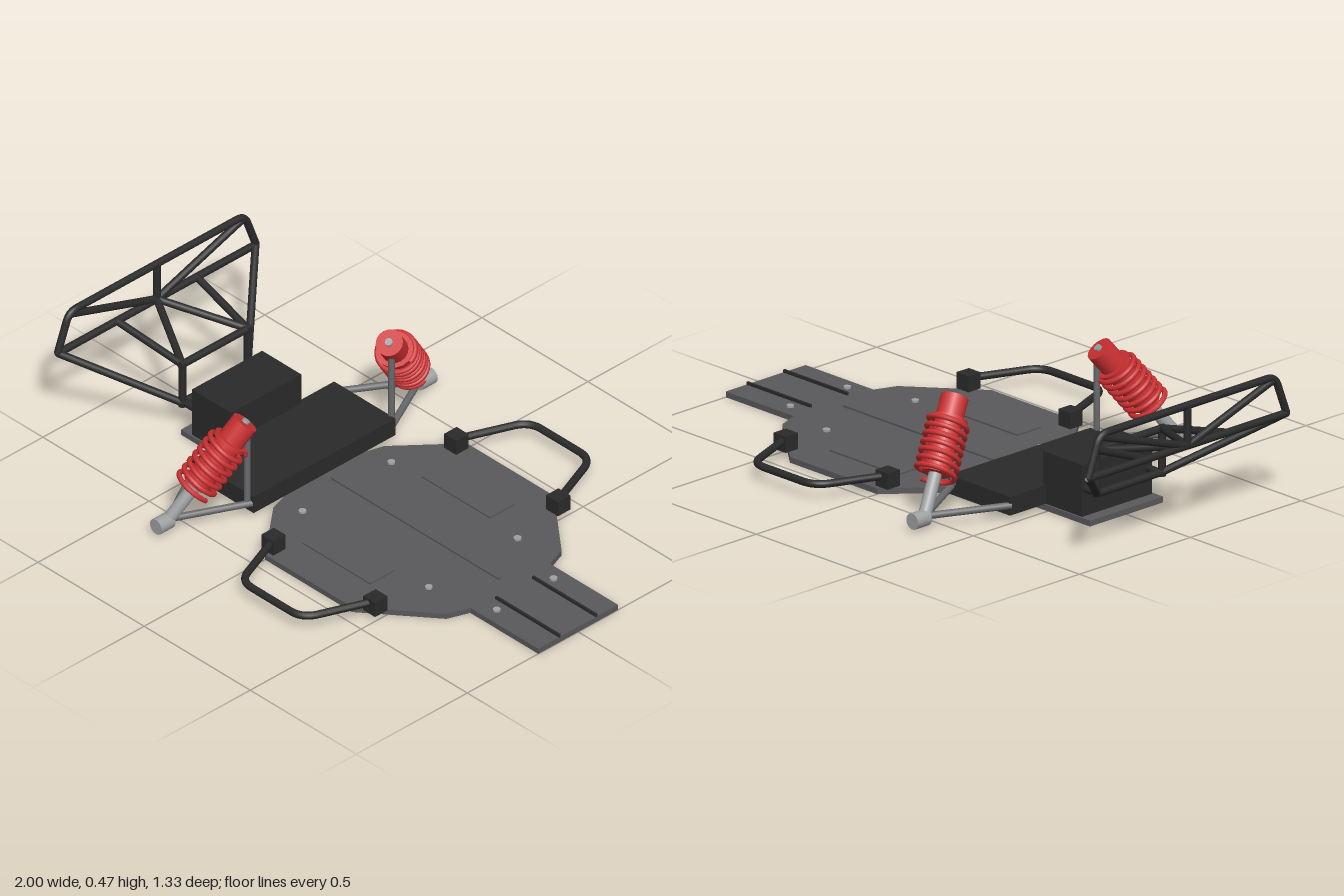
import * as THREE from 'three';

const mat = (name, color) => Object.assign(new THREE.MeshStandardMaterial({ color }), { name });
const V = (x, y, z) => new THREE.Vector3(x, y, z);

// Polyline path whose inner corners are rounded by radius r
function roundedPath(points, r) {
  const path = new THREE.CurvePath();
  let prev = points[0];
  for (let i = 1; i < points.length - 1; i++) {
    const p = points[i];
    const a = p.clone().add(points[i - 1].clone().sub(p).setLength(r));
    const b = p.clone().add(points[i + 1].clone().sub(p).setLength(r));
    path.add(new THREE.LineCurve3(prev, a));
    path.add(new THREE.QuadraticBezierCurve3(a, p, b));
    prev = b;
  }
  path.add(new THREE.LineCurve3(prev, points[points.length - 1]));
  return path;
}

class Helix extends THREE.Curve {
  constructor(radius, y0, y1, turns) {
    super();
    Object.assign(this, { radius, y0, y1, turns });
  }
  getPoint(t, target = new THREE.Vector3()) {
    const a = t * this.turns * Math.PI * 2;
    return target.set(this.radius * Math.cos(a), this.y0 + (this.y1 - this.y0) * t, this.radius * Math.sin(a));
  }
}

export function createModel() {
  const grey = mat('chassis grey', 0x59595b);
  const black = mat('black', 0x2a2a2b);
  const steel = mat('dark steel', 0x68696b);
  const silver = mat('silver', 0x9fa0a2);
  const red = mat('red', 0xcc3032);
  const root = new THREE.Group();
  root.name = 'buggyChassis';

  const add = (name, geo, m, parent = root) => {
    const mesh = new THREE.Mesh(geo, m);
    mesh.name = name;
    parent.add(mesh);
    return mesh;
  };
  // Box given by its limits
  const box = (name, m, x0, x1, y0, y1, z0, z1) =>
    add(name, new THREE.BoxGeometry(x1 - x0, y1 - y0, z1 - z0), m)
      .position.set((x0 + x1) / 2, (y0 + y1) / 2, (z0 + z1) / 2);
  // Straight round bar between two points
  const bar = (name, m, a, b, r, parent = root) => {
    const d = b.clone().sub(a);
    const mesh = add(name, new THREE.CylinderGeometry(r, r, d.length(), 16), m, parent);
    mesh.position.copy(a).add(b).multiplyScalar(0.5);
    mesh.quaternion.setFromUnitVectors(V(0, 1, 0), d.normalize());
    return mesh;
  };

  // Floor plate
  const half = [[1, 0.18], [0.68, 0.18], [0.65, 0.26], [0.41, 0.455], [0, 0.455], [-0.175, 0.25], [-0.2, 0.165], [-0.7, 0.165]];
  const outline = [...half, ...half.slice().reverse().map(([x, z]) => [x, -z])];
  const shape = new THREE.Shape(outline.map(([x, z]) => new THREE.Vector2(x, z)));
  const plate = new THREE.ExtrudeGeometry(shape, { depth: 0.02, bevelEnabled: false });
  plate.rotateX(-Math.PI / 2);
  add('floorPlate', plate, grey);
  box('centreRib', grey, -0.16, 0.63, 0.018, 0.027, -0.005, 0.005);

  // Gearbox housing
  box('rearHousing', black, -0.485, -0.195, 0.02, 0.085, -0.32, 0.32);
  box('gearbox', black, -0.655, -0.47, 0.02, 0.2, -0.158, 0.158);

  for (const s of [-1, 1]) {
    // Plate details
    box('noseRib', black, 0.7, 1, 0.018, 0.03, s * 0.083 - 0.004, s * 0.083 + 0.004);
    box('floorPad', grey, 0.04, 0.36, 0.018, 0.026, s * 0.27 - 0.055, s * 0.27 + 0.055);
    for (const [x, z] of [[-0.09, 0.2], [0.505, 0.2], [0.75, 0.128]])
      add('plateBolt', new THREE.CylinderGeometry(0.013, 0.013, 0.01, 12), silver).position.set(x, 0.022, s * z);

    // Side bar and its clamps
    const pts = [[-0.005, 0.412], [0.09, 0.651], [0.38, 0.651], [0.475, 0.412]].map(([x, z]) => V(x, 0.056, s * z));
    add('sideBar', new THREE.TubeGeometry(roundedPath(pts, 0.055), 64, 0.013, 12), black);
    for (const x of [-0.005, 0.475])
      box('sideBarClamp', black, x - 0.028, x + 0.028, 0.02, 0.076, s * 0.412 - 0.028, s * 0.412 + 0.028);

    // Suspension arms, post and hub
    const hub = V(-0.34, 0.043, s * 0.565);
    bar('frontArm', steel, V(-0.205, 0.052, s * 0.31), hub, 0.012);
    bar('rearArm', steel, V(-0.48, 0.052, s * 0.31), hub, 0.012);
    bar('shockPost', steel, V(-0.22, 0.06, s * 0.325), V(-0.22, 0.345, s * 0.325), 0.011);
    bar('wheelHub', silver, V(-0.34, 0.038, s * 0.56), V(-0.34, 0.038, s * 0.622), 0.028);

    // Shock absorber, built along y and then tilted
    const low = V(-0.34, 0.04, s * 0.568);
    const axis = V(-0.23, 0.367, s * 0.325).sub(low);
    const len = axis.length();
    const shock = new THREE.Group();
    shock.name = 'shockAbsorber';
    shock.position.copy(low);
    shock.quaternion.setFromUnitVectors(V(0, 1, 0), axis.normalize());
    root.add(shock);
    bar('shockRod', silver, V(0, 0, 0), V(0, len * 0.5, 0), 0.022, shock);
    bar('shockBody', red, V(0, len * 0.36, 0), V(0, len, 0), 0.046, shock);
    bar('springSeat', red, V(0, len * 0.79, 0), V(0, len * 0.82, 0), 0.062, shock);
    bar('shockBolt', silver, V(0, len, 0), V(0, len + 0.01, 0), 0.013, shock);
    add('coilSpring', new THREE.TubeGeometry(new Helix(0.066, len * 0.33, len * 0.8, 7), 220, 0.009, 8), red, shock);
  }

  // Rear bumper cage
  const cage = new THREE.Group();
  cage.name = 'rearBumper';
  root.add(cage);
  const R = 0.013, X = -0.986, Y = 0.315;
  const hoop = [V(X, Y, 0.447), V(X, 0.455, 0.395), V(X, 0.455, -0.395), V(X, Y, -0.447)];
  add('upperHoop', new THREE.TubeGeometry(roundedPath(hoop, 0.035), 96, R, 12), black, cage);
  const strut = (name, a, b) => bar(name, black, V(...a), V(...b), R, cage);
  strut('lowerBar', [X, Y, -0.45], [X, Y, 0.45]);
  strut('centrePost', [X, Y, 0], [X, 0.455, 0]);
  strut('frameTop', [-0.712, 0.265, -0.158], [-0.712, 0.265, 0.158]);
  strut('frameBottom', [-0.712, 0.113, -0.158], [-0.712, 0.113, 0.158]);
  for (const s of [-1, 1]) {
    strut('hoopBrace', [X, 0.445, s * 0.39], [X, Y, 0]);
    strut('lowerStay', [X, Y, s * 0.445], [-0.712, 0.113, s * 0.147]);
    strut('upperStay', [X, Y, s * 0.18], [-0.712, 0.265, s * 0.147]);
    strut('innerStay', [X, Y, 0], [-0.712, 0.265, s * 0.147]);
    strut('framePost', [-0.712, 0.1, s * 0.147], [-0.712, 0.275, s * 0.147]);
    strut('mountBar', [-0.712, 0.113, s * 0.14], [-0.64, 0.113, s * 0.14]);
  }
  return root;
}
